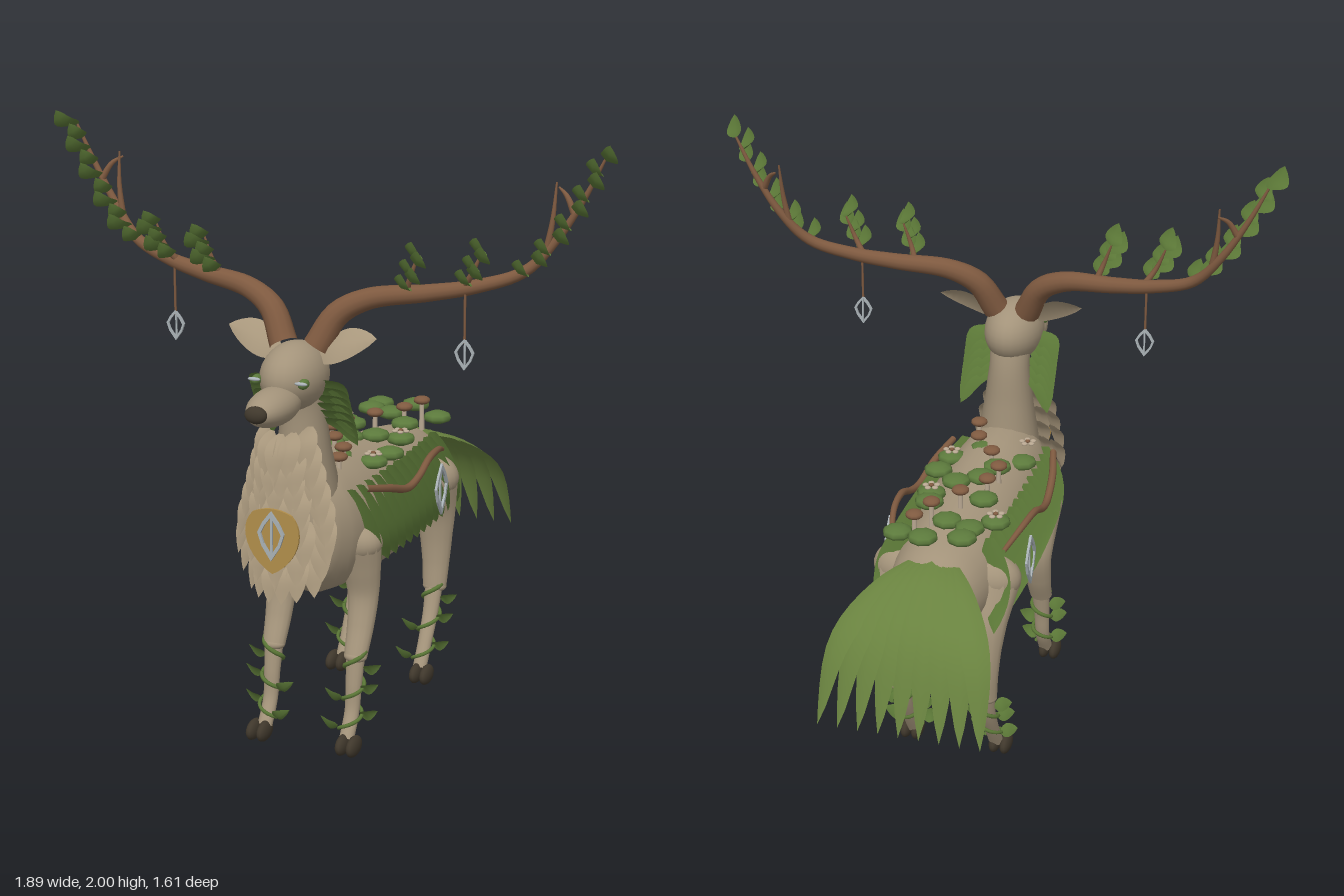
import * as THREE from 'three';

const V = (x, y, z) => new THREE.Vector3(x, y, z);
const mat = (name, color, side = THREE.FrontSide) => {
  const m = new THREE.MeshStandardMaterial({ color, side });
  m.name = name;
  return m;
};

export function createModel() {
  const D = THREE.DoubleSide;
  const hide = mat('hide tan', 0xa3937a), plume = mat('plume tan', 0xa8977c, D);
  const leafG = mat('leaf green', 0x5a7636, D), tailG = mat('tail green', 0x69823f, D);
  const moss = mat('moss green', 0x5c7a3c), wood = mat('bark brown', 0x7f5a40);
  const dark = mat('hoof dark', 0x40382c), gold = mat('gold', 0xb08d4a, D);
  const silver = mat('silver', 0xa9b1b5, D), petal = mat('petal', 0xb9a892);
  const root = new THREE.Group();

  const add = (parent, name, geo, m) => {
    const mesh = new THREE.Mesh(geo, m);
    mesh.name = name;
    parent.add(mesh);
    return mesh;
  };
  const ball = (parent, name, m, p, r, ws = 24, hs = 16) => {
    const b = add(parent, name, new THREE.SphereGeometry(1, ws, hs), m);
    b.position.set(...p);
    b.scale.set(...r);
    return b;
  };
  const curve = (pts) => new THREE.CatmullRomCurve3(pts.map((p) => V(...p)));

  // Tube whose radius follows a list spread evenly along the path points
  function taper(parent, name, m, pts, radii, segs = 24, sides = 14) {
    const c = curve(pts), g = new THREE.TubeGeometry(c, segs, 1, sides), a = g.attributes.position;
    for (let i = 0; i <= segs; i++) {
      const u = i / segs, centre = c.getPointAt(u), f = c.getUtoTmapping(u) * (radii.length - 1);
      const k = Math.min(Math.floor(f), radii.length - 2);
      const r = THREE.MathUtils.lerp(radii[k], radii[k + 1], f - k);
      for (let j = 0; j <= sides; j++) {
        const n = i * (sides + 1) + j, v = V().fromBufferAttribute(a, n);
        v.sub(centre).multiplyScalar(r).add(centre);
        a.setXYZ(n, v.x, v.y, v.z);
      }
    }
    return add(parent, name, g, m);
  }

  // Cupped leaf or feather along a path, widened along the side direction
  function blade(parent, name, m, pts, width, side, cup = 0.25, peak = 0.8, segs = 10) {
    const c = curve(pts), s = V(...side).normalize(), pos = [], idx = [];
    for (let i = 0; i <= segs; i++) {
      const t = i / segs, p = c.getPoint(t);
      const w = (width / 2) * Math.pow(Math.max(0, Math.sin(Math.PI * Math.pow(0.04 + 0.96 * t, peak))), 0.8);
      const n = s.clone().cross(c.getTangent(t)).normalize();
      for (const k of [-1, 0, 1]) {
        const v = p.clone().addScaledVector(s, k * w).addScaledVector(n, k ? 0 : cup * w);
        pos.push(v.x, v.y, v.z);
        if (i < segs && k < 1) {
          const q = i * 3 + k + 1;
          idx.push(q, q + 1, q + 3, q + 1, q + 4, q + 3);
        }
      }
    }
    const g = new THREE.BufferGeometry();
    g.setAttribute('position', new THREE.Float32BufferAttribute(pos, 3));
    g.setIndex(idx);
    g.computeVertexNormals();
    return add(parent, name, g, m);
  }

  // Flat open silver drop with a centre bar
  function drop(parent, name, w, h) {
    const outline = (k) => [[0, 0.5], [0.6, 0.28], [1, 0.06], [0.7, -0.2], [0, -0.5], [-0.7, -0.2], [-1, 0.06], [-0.6, 0.28]]
      .map(([x, y]) => new THREE.Vector2(x * w * k, y * h * k));
    const s = new THREE.Shape(outline(1));
    s.holes.push(new THREE.Path(outline(0.76)));
    const grp = new THREE.Group();
    grp.name = name;
    add(grp, 'dropFrame', new THREE.ExtrudeGeometry(s, { depth: 0.008, bevelEnabled: false }), silver);
    add(grp, 'dropBar', new THREE.BoxGeometry(w * 0.16, h * 0.85, 0.006), silver);
    parent.add(grp);
    return grp;
  }

  // Body: rings of z, bottom, top, half width
  const rows = [[0.54, 0.72, 0.78, 0.02], [0.525, 0.64, 0.87, 0.08], [0.48, 0.57, 0.93, 0.13], [0.4, 0.52, 0.96, 0.165],
    [0.25, 0.5, 0.955, 0.185], [0, 0.49, 0.925, 0.195], [-0.25, 0.52, 0.895, 0.185], [-0.4, 0.565, 0.865, 0.155],
    [-0.49, 0.62, 0.82, 0.1], [-0.525, 0.69, 0.75, 0.03]];
  const mid = curve(rows.map(([z, b, t]) => [0, (b + t) / 2, z]));
  const size = curve(rows.map(([, b, t, w]) => [w, (t - b) / 2, 0]));
  const bp = [], bi = [], N = 36, S = 28;
  for (let i = 0; i <= N; i++) {
    const c = mid.getPoint(i / N), r = size.getPoint(i / N);
    for (let j = 0; j < S; j++) {
      const a = (j / S) * Math.PI * 2, q = i * S + j, n = i * S + ((j + 1) % S);
      bp.push(r.x * Math.cos(a), c.y + r.y * Math.sin(a), c.z);
      if (i < N) bi.push(q, q + S, n, n, q + S, n + S);
    }
  }
  const bodyGeo = new THREE.BufferGeometry();
  bodyGeo.setAttribute('position', new THREE.Float32BufferAttribute(bp, 3));
  bodyGeo.setIndex(bi.map((_, i) => bi[i - (i % 3) + [0, 2, 1][i % 3]]).map((v) => v));
  bodyGeo.setIndex(bi.flatMap((_, i) => (i % 3 ? [] : [bi[i], bi[i + 1], bi[i + 2]])));
  bodyGeo.computeVertexNormals();
  add(root, 'body', bodyGeo, hide);
  ball(root, 'chestTip', hide, [0, 0.75, 0.534], [0.03, 0.035, 0.01]);
  ball(root, 'rumpTip', hide, [0, 0.72, -0.52], [0.035, 0.035, 0.012]);

  // Neck and head
  taper(root, 'neck', hide, [[0, 0.74, 0.41], [0, 0.88, 0.43], [0, 1.02, 0.44], [0, 1.16, 0.445], [0, 1.28, 0.47]],
    [0.125, 0.11, 0.085, 0.068, 0.07], 24, 24);
  ball(root, 'head', hide, [0, 1.265, 0.505], [0.1, 0.107, 0.145]);
  ball(root, 'muzzle', hide, [0, 1.205, 0.66], [0.07, 0.058, 0.135]);
  ball(root, 'nose', dark, [0, 1.21, 0.785], [0.036, 0.027, 0.022]);

  // Mane of hanging feathers
  for (let r = 0; r < 8; r++) {
    const y = 1.12 - r * 0.057, hw = [0.075, 0.09, 0.105, 0.12, 0.135, 0.14, 0.125, 0.1][r], n = 5 + (r % 2);
    for (let i = 0; i < n; i++) {
      const u = (2 * i) / (n - 1) - 1, x = u * hw, b = 0.06 * u * u, d = y - 0.015 * (1 - u * u);
      blade(root, 'maneFeather', plume, [[x * 0.95, d, 0.61 - b], [x, d - 0.05, 0.655 - b], [x * 1.08, d - 0.135, 0.67 - b]],
        0.07, [1, 0, -0.6 * u], 0.2, 0.9, 8);
    }
  }

  // Chest emblem
  const em = new THREE.Shape();
  em.moveTo(0, -0.11);
  em.bezierCurveTo(0.08, -0.07, 0.12, 0.03, 0.065, 0.085);
  em.quadraticCurveTo(0, 0.115, -0.065, 0.085);
  em.bezierCurveTo(-0.12, 0.03, -0.08, -0.07, 0, -0.11);
  add(root, 'chestPlate', new THREE.ExtrudeGeometry(em, { depth: 0.008, bevelEnabled: false }), gold).position.set(0, 0.785, 0.675);
  drop(root, 'chestDrop', 0.045, 0.16).position.set(0, 0.8, 0.686);

  // Tail fan
  for (let i = -4; i <= 4; i++) {
    const x = i * 0.063, e = Math.abs(i) * 0.004;
    blade(root, 'tailFeather', tailG, [[x * 0.12, 0.86 - e, -0.37], [x * 0.5, 0.81 - e, -0.53], [x * 0.88, 0.68 - e, -0.69], [x * 1.06, 0.41, -0.8]],
      0.095, [1, 0, 0.1 * i], 0.25, 1.15, 14);
  }

  // Back garden: moss pads, mushrooms and flowers
  for (const [x, z] of [[-0.09, -0.41], [0.03, -0.44], [-0.095, -0.34], [-0.01, -0.31], [0.13, -0.39], [0.085, -0.2], [-0.08, -0.135],
    [0.045, -0.035], [-0.055, 0.105], [0.14, 0.07], [-0.115, 0.205], [0.025, 0.23], [-0.15, -0.235], [0.11, -0.1], [0.125, 0.175], [-0.025, 0.02]])
    ball(root, 'mossPad', moss, [x, Math.abs(x) > 0.1 ? 0.908 : 0.93, z], [0.05, 0.022, 0.05], 8, 6);
  for (const [x, z] of [[0.08, -0.37], [0.055, -0.27], [-0.01, -0.165], [-0.07, -0.06], [-0.08, 0.04], [-0.025, 0.145], [0.05, 0.245], [0.08, 0.35]]) {
    ball(root, 'mushroomCap', wood, [x, 0.968, z], [0.029, 0.015, 0.029], 12, 8);
    add(root, 'mushroomStem', new THREE.CylinderGeometry(0.008, 0.01, 0.1, 8), petal).position.set(x, 0.912, z);
  }
  for (const [x, z] of [[-0.15, -0.235], [0.11, -0.1], [0.125, 0.175], [-0.105, 0.31]]) {
    for (let k = 0; k < 5; k++) {
      const a = k * Math.PI * 0.4;
      ball(root, 'petal', petal, [x + 0.02 * Math.cos(a), 0.935, z + 0.02 * Math.sin(a)], [0.011, 0.005, 0.011], 8, 6);
    }
    ball(root, 'flowerHeart', wood, [x, 0.937, z], [0.009, 0.006, 0.009], 8, 6);
  }

  // Everything paired is built on +x and mirrored
  for (const s of [1, -1]) {
    const half = new THREE.Group();
    half.name = s > 0 ? 'leftSide' : 'rightSide';
    half.scale.x = s;
    root.add(half);

    // Face
    ball(half, 'eye', moss, [0.078, 1.27, 0.612], [0.016, 0.016, 0.026], 14, 10);
    ball(half, 'eyeGlint', silver, [0.078, 1.275, 0.632], [0.022, 0.006, 0.008], 10, 8);
    blade(half, 'ear', plume, [[0.06, 1.325, 0.47], [0.15, 1.365, 0.465], [0.25, 1.39, 0.45]], 0.115, [0, 0.78, -0.6], -0.3, 0.9);

    // Cheek ruff
    for (let i = 0; i < 6; i++) {
      const y = 1.26 - i * 0.028, z = 0.52 - i * 0.014;
      blade(half, 'ruffLeaf', leafG, [[0.07, y, z], [0.125, y - 0.025, z - 0.03], [0.155, y - 0.1, z - 0.075]], 0.075, [1, 0.35, 0.2], 0.25, 0.9, 8);
    }

    // Antler with tines and leaf sprays
    const main = [[0.055, 1.35, 0.465], [0.11, 1.45, 0.43], [0.2, 1.5, 0.4], [0.38, 1.525, 0.355], [0.52, 1.55, 0.32],
      [0.66, 1.6, 0.28], [0.75, 1.7, 0.25], [0.83, 1.83, 0.24], [0.89, 1.95, 0.24]];
    taper(half, 'antler', wood, main, [0.045, 0.04, 0.034, 0.027, 0.022, 0.018, 0.013, 0.009, 0.004], 48, 12);
    const tine = (...p) => taper(half, 'tine', wood, p, [0.012, 0.008, 0.003], 8, 8);
    tine([0.72, 1.66, 0.26], [0.735, 1.76, 0.25], [0.74, 1.87, 0.235]);
    tine([0.8, 1.78, 0.245], [0.77, 1.83, 0.23], [0.74, 1.85, 0.21]);
    const t1 = [[0.31, 1.515, 0.37], [0.335, 1.58, 0.39], [0.36, 1.65, 0.39]];
    const t2 = [[0.48, 1.54, 0.33], [0.52, 1.6, 0.35], [0.55, 1.67, 0.35]];
    tine(...t1);
    tine(...t2);
    for (const [path, n] of [[t1, 5], [t2, 5], [main.slice(5), 10]]) {
      const c = curve(path);
      for (let i = 0; i < n; i++) {
        const p = c.getPoint(n > 5 ? i / (n - 1) : 0.25 + (0.75 * i) / (n - 1)), k = i % 2 ? 1 : -1;
        blade(half, 'antlerLeaf', leafG, [[p.x, p.y, p.z], [p.x + 0.012 + 0.014 * k, p.y + 0.012, p.z + 0.045], [p.x + 0.02 + 0.014 * k, p.y + 0.052, p.z + 0.075]],
          0.062, [0.85, -0.45, 0.1], 0.3, 0.85, 7);
      }
    }

    // Hanging charm
    add(half, 'charmCord', new THREE.CylinderGeometry(0.004, 0.004, 0.17, 6), wood).position.set(0.493, 1.46, 0.342);
    drop(half, 'charm', 0.032, 0.1).position.set(0.493, 1.34, 0.338);

    // Flank feathers, vine and ornament
    for (let i = 0; i < 13; i++) {
      const z = 0.4 - i * 0.058, x = 0.185 - 0.12 * (z - 0.02) ** 2;
      blade(half, 'flankFeather', leafG, [[x - 0.025, 0.88, z], [x, 0.77, z - 0.025], [x + 0.015, 0.68, z - 0.06], [x + 0.025, 0.6, z - 0.12]],
        0.1, [1, 0.15, 0], 0.2, 0.85);
    }
    taper(half, 'flankVine', wood, [[0.18, 0.88, 0.37], [0.21, 0.85, 0.25], [0.225, 0.815, 0.12], [0.23, 0.83, 0.04], [0.23, 0.865, -0.05],
      [0.22, 0.865, -0.16], [0.19, 0.83, -0.28]], [0.011, 0.013, 0.013, 0.012, 0.012, 0.011, 0.008], 36, 8);
    const orn = drop(half, 'flankDrop', 0.055, 0.18);
    orn.position.set(0.238, 0.735, -0.14);
    orn.rotation.y = Math.PI / 2;

    // Legs: path points of y, z with a radius for each
    const legs = {
      frontLeg: [[[0.69, 0.34], [0.6, 0.32], [0.5, 0.305], [0.4, 0.33], [0.31, 0.37]], [0.06, 0.05, 0.04, 0.035, 0.03],
        [[0.33, 0.365], [0.22, 0.385], [0.13, 0.4], [0.05, 0.445]]],
      hindLeg: [[[0.73, -0.28], [0.6, -0.335], [0.5, -0.35], [0.4, -0.35], [0.31, -0.34]], [0.08, 0.058, 0.046, 0.038, 0.033],
        [[0.33, -0.34], [0.22, -0.3], [0.13, -0.25], [0.05, -0.2]]],
    };
    for (const [name, [up, radii, low]] of Object.entries(legs)) {
      const leg = new THREE.Group();
      leg.name = name;
      leg.position.x = 0.145;
      half.add(leg);
      const at = ([y, z]) => [0, y, z];
      taper(leg, 'upperLeg', hide, up.map(at), radii).scale.x = 1.3;
      ball(leg, 'shoulder', hide, at(up[0]), [radii[0] * 1.3, radii[0], radii[0]]);
      ball(leg, 'knee', hide, at(up[4]), [radii[4] * 1.3, radii[4] * 0.7, radii[4]]);
      taper(leg, 'lowerLeg', hide, low.map(at), [0.026, 0.022, 0.02, 0.02]).scale.x = 1.25;
      const end = low[3];
      for (const x of [-0.006, 0.032]) ball(leg, 'hoof', dark, [x, 0.037, end[1] + 0.015], [0.02, 0.034, 0.05], 14, 10);

      // Vine wound around the lower leg
      const c = curve(low.map(at)), helix = [];
      for (let i = 0; i <= 24; i++) {
        const p = c.getPoint(i / 27), a = (i / 24) * Math.PI * 5;
        helix.push([p.x + 0.034 * Math.cos(a), p.y, p.z + 0.031 * Math.sin(a)]);
      }
      taper(leg, 'legVine', leafG, helix, [0.008, 0.007, 0.006], 64, 6);
      for (const [i, k] of [[5, 1], [10, 1], [13, -1], [19, 1], [22, -1]]) {
        const [, y, z] = helix[i];
        blade(leg, 'legLeaf', leafG, [[0.03 * k, y, z], [0.055 * k, y + 0.005, z + 0.01], [0.09 * k, y + 0.025, z]], 0.048, [-0.2 * k, 0.8, 0.5], 0.3, 0.85, 7);
      }
    }
  }
  return root;
}
